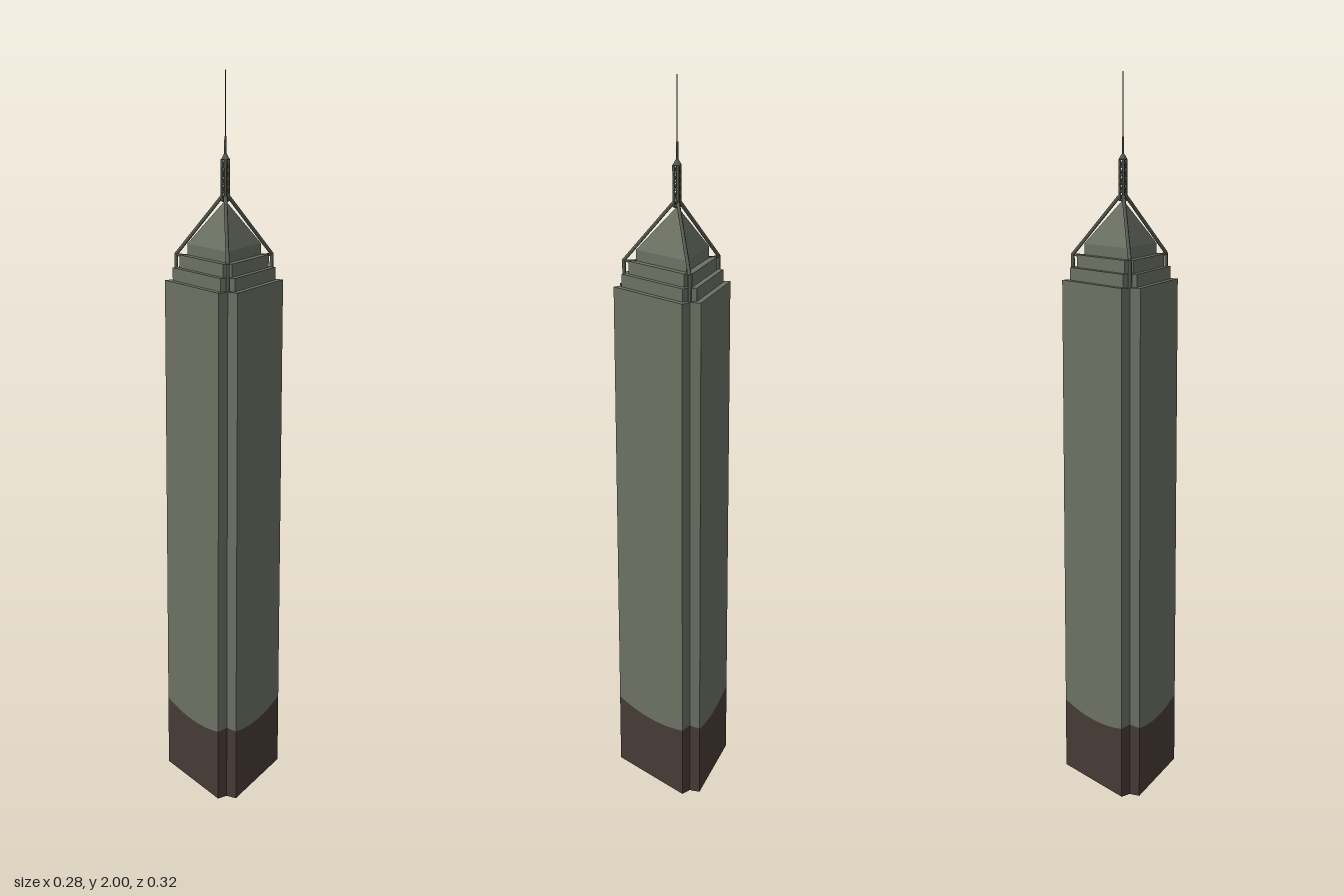
import * as THREE from 'three';

const CX = 0.031; // axis of the three-sided plan
const TURN = (Math.PI * 2) / 3;

const stone = new THREE.MeshStandardMaterial({ color: 0x6b7063 });
stone.name = 'grey green cladding';
const brown = new THREE.MeshStandardMaterial({ color: 0x473b35 });
brown.name = 'dark brown base';
const steel = new THREE.MeshStandardMaterial({ color: 0x585c51 });
steel.name = 'dark steel';

// Point at a radius and sideways offset, turned to side k of the plan
function planPoint(k, out, side) {
  const c = Math.cos(k * TURN), s = Math.sin(k * TURN);
  return { x: CX + out * c - side * s, z: out * s + side * c };
}

// Triangle with a V notch in each corner; rim is the height of the base colour
function outline(r, half, notch, steps = 1) {
  const pts = [];
  for (let k = 0; k < 3; k++) {
    for (let i = 0; i <= steps; i++) {
      const t = (i / steps) * 2 - 1;
      pts.push({ ...planPoint(k, r, t * half), rim: 0.187 + 0.018 * t * t });
    }
    pts.push({ ...planPoint(k + 0.5, notch, 0), rim: 0.21 });
  }
  return pts;
}

function toShape(pts) {
  return new THREE.Shape(pts.map((p) => new THREE.Vector2(p.x, -p.z)));
}

// Upright wall around an outline between two height rules
function wall(pts, low, high) {
  const pos = [];
  pts.forEach((a, i) => {
    const b = pts[(i + 1) % pts.length];
    const a0 = [a.x, low(a), a.z], a1 = [a.x, high(a), a.z];
    const b0 = [b.x, low(b), b.z], b1 = [b.x, high(b), b.z];
    pos.push(...a0, ...a1, ...b1, ...a0, ...b1, ...b0);
  });
  const g = new THREE.BufferGeometry();
  g.setAttribute('position', new THREE.Float32BufferAttribute(pos, 3));
  g.computeVertexNormals();
  return g;
}

function add(group, name, geometry, material) {
  const m = new THREE.Mesh(geometry, material);
  m.name = name;
  group.add(m);
  return m;
}

function beam(group, name, a, b, radius) {
  const d = b.clone().sub(a);
  const m = add(group, name, new THREE.CylinderGeometry(radius, radius, d.length(), 6), steel);
  m.position.copy(a).addScaledVector(d, 0.5);
  m.quaternion.setFromUnitVectors(new THREE.Vector3(0, 1, 0), d.normalize());
}

export function createModel() {
  const model = new THREE.Group();
  model.name = 'tower';

  // Shaft with a dark base whose top edge dips along each side
  const plan = outline(0.108, 0.137, 0.157, 8);
  add(model, 'base', wall(plan, () => 0, (p) => p.rim), brown);
  add(model, 'shaft', wall(plan, (p) => p.rim, () => 1.44), stone);
  const planShape = toShape(outline(0.108, 0.137, 0.157));
  add(model, 'shaftRoof', new THREE.ShapeGeometry(planShape).rotateX(-Math.PI / 2).translate(0, 1.44, 0), stone);
  add(model, 'baseUnderside', new THREE.ShapeGeometry(planShape).rotateX(Math.PI / 2), brown);

  // Stepped setbacks
  [
    [0.092, 0.122, 0.143, 1.44, 1.475],
    [0.077, 0.11, 0.128, 1.475, 1.51],
  ].forEach(([r, half, notch, y0, y1], i) => {
    const g = new THREE.ExtrudeGeometry(toShape(outline(r, half, notch)), { depth: y1 - y0, bevelEnabled: false });
    add(model, 'setback' + (i + 1), g.rotateX(-Math.PI / 2).translate(0, y0, 0), stone);
  });

  // Crown: low triangular drum and pyramid roof
  const crown = new THREE.Group();
  crown.name = 'crown';
  const corners = [0, 1, 2].map((k) => planPoint(k + 0.5, 0.116, 0));
  add(crown, 'crownWall', wall(corners, () => 1.51, () => 1.54), stone);
  const roof = [];
  corners.forEach((a, i) => {
    const b = corners[(i + 1) % 3];
    roof.push(a.x, 1.54, a.z, CX, 1.662, 0, b.x, 1.54, b.z);
  });
  const roofGeo = new THREE.BufferGeometry();
  roofGeo.setAttribute('position', new THREE.Float32BufferAttribute(roof, 3));
  roofGeo.computeVertexNormals();
  add(crown, 'pyramidRoof', roofGeo, stone);
  model.add(crown);

  // Corner struts rising to the mast
  const struts = new THREE.Group();
  struts.name = 'cornerStruts';
  const at = (k, r, y) => {
    const p = planPoint(k + 0.5, r, 0);
    return new THREE.Vector3(p.x, y, p.z);
  };
  for (let k = 0; k < 3; k++) {
    beam(struts, 'strutPost', at(k, 0.151, 1.43), at(k, 0.151, 1.512), 0.005);
    beam(struts, 'strutRafter', at(k, 0.151, 1.51), at(k, 0.01, 1.672), 0.005);
    beam(struts, 'strutTie', at(k, 0.151, 1.508), at(k, 0.1, 1.508), 0.004);
  }
  model.add(struts);

  // Lattice mast
  const mast = new THREE.Group();
  mast.name = 'mast';
  const bays = 5, y0 = 1.66, bay = 0.022;
  for (let k = 0; k < 3; k++) {
    beam(mast, 'mastLeg', at(k, 0.01, y0), at(k, 0.01, y0 + bays * bay), 0.0035);
    for (let i = 0; i <= bays; i++) {
      const y = y0 + i * bay;
      beam(mast, 'mastRung', at(k, 0.01, y), at(k + 1, 0.01, y), 0.002);
      if (i < bays) beam(mast, 'mastBrace', at(k, 0.01, y), at(k + 1, 0.01, y + bay), 0.002);
    }
  }
  model.add(mast);

  // Cap and needle
  const cap = add(model, 'mastCap', new THREE.CylinderGeometry(0.004, 0.012, 0.014, 8), steel);
  cap.position.set(CX, 1.777, 0);
  beam(model, 'needleFoot', new THREE.Vector3(CX, 1.67, 0), new THREE.Vector3(CX, 1.83, 0), 0.003);
  beam(model, 'needle', new THREE.Vector3(CX, 1.82, 0), new THREE.Vector3(CX, 2, 0), 0.0013);

  return model;
}
